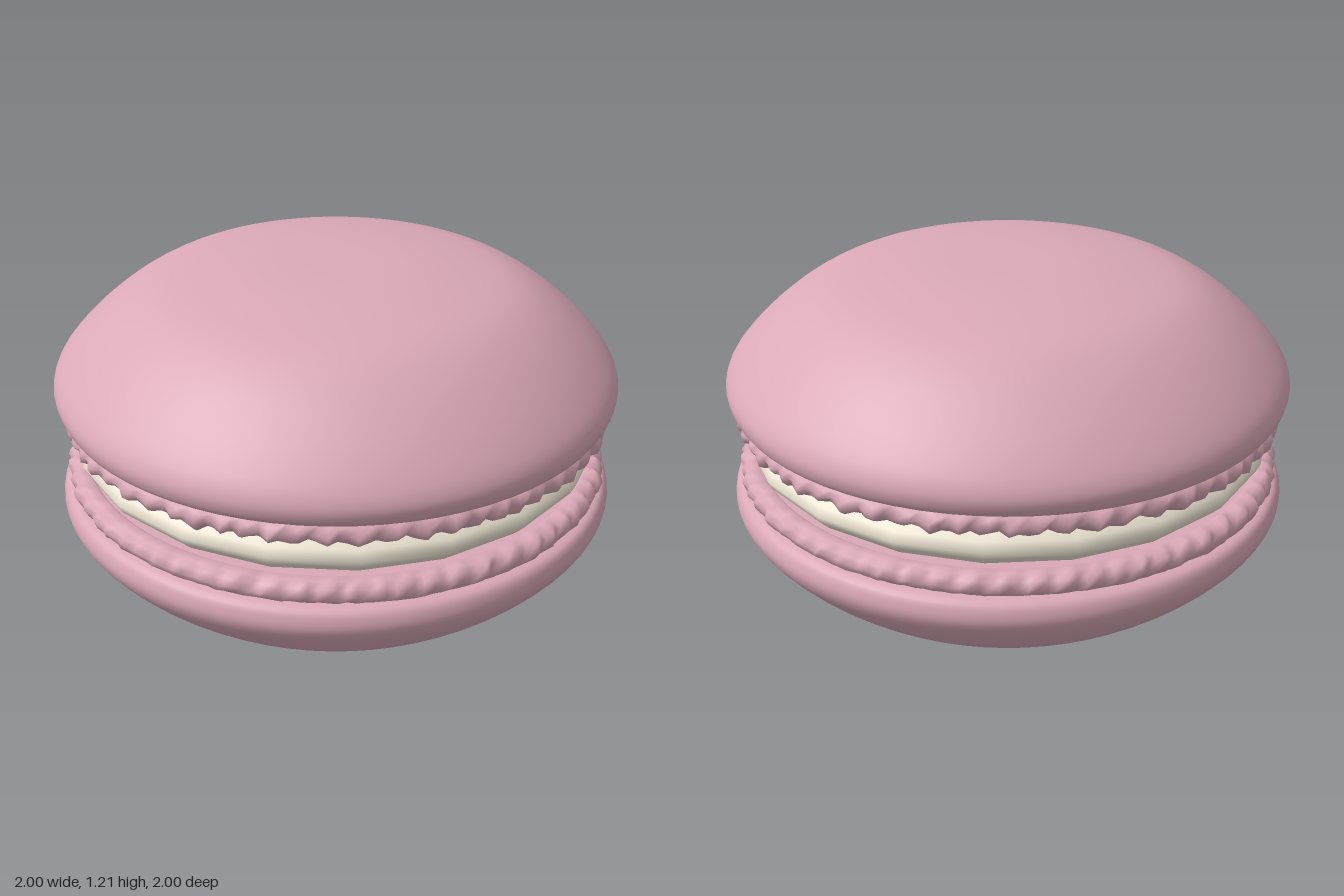
import * as THREE from 'three';
import { mergeVertices } from 'three/addons/utils/BufferGeometryUtils.js';

const HEIGHT = 1.21;
const pink = new THREE.MeshStandardMaterial({ color: 0xdba9b8 });
const creamColor = new THREE.MeshStandardMaterial({ color: 0xf2ead8 });

const points = (list) => list.map(([x, y]) => new THREE.Vector2(x, y));

function part(name, geometry, material) {
  const mesh = new THREE.Mesh(geometry, material);
  mesh.name = name;
  return mesh;
}

function seededRandom(seed) {
  return () => {
    seed = (seed * 16807) % 2147483647;
    return seed / 2147483647;
  };
}

// Crinkled ring: a squashed torus whose rim is waved and roughened
function ruffleGeometry(seed) {
  const random = seededRandom(seed);
  const columns = 198, rows = 10, waves = 66;
  let geometry = new THREE.TorusGeometry(0.92, 0.042, rows, columns);
  geometry.rotateX(-Math.PI / 2);
  geometry.deleteAttribute('uv');
  geometry.deleteAttribute('normal');
  geometry = mergeVertices(geometry, 1e-4);
  const position = geometry.attributes.position;
  const phases = [random() * 6, random() * 6, random() * 6];
  for (let i = 0; i < position.count; i++) {
    const x = position.getX(i), y = position.getY(i), z = position.getZ(i);
    const angle = Math.atan2(z, x);
    const radius = Math.hypot(x, z);
    const wave = Math.sin(waves * angle + 30 * y + 1.5 * Math.sin(7 * angle + phases[0]));
    const drift = Math.sin(23 * angle + phases[1]) + Math.sin(41 * angle - 40 * y + phases[2]);
    const outer = THREE.MathUtils.smoothstep(radius, 0.9, 0.94);
    const r = radius + outer * (0.008 + 0.007 * wave + 0.003 * drift + 0.007 * (random() - 0.5));
    const lift = outer * (0.006 * wave + 0.002 * drift + 0.005 * (random() - 0.5));
    position.setXYZ(i, r * Math.cos(angle), y + lift, r * Math.sin(angle));
  }
  geometry.computeVertexNormals();
  return geometry;
}

// One biscuit half, domed side down
function createHalf(name, seed) {
  const half = new THREE.Group();
  half.name = name;

  const dome = new THREE.SplineCurve(points([
    [0, 0], [0.25, 0.003], [0.45, 0.022], [0.62, 0.055], [0.75, 0.12],
    [0.87, 0.215], [0.96, 0.31], [0.995, 0.37], [0.996, 0.415], [0.975, 0.45], [0.92, 0.46],
  ]));
  const profile = dome.getPoints(40);
  profile[0].x = 0;
  half.add(part('shell', new THREE.LatheGeometry(profile, 72), pink));

  // Flat inner face that carries the filling
  const face = new THREE.CircleGeometry(0.925, 72);
  face.rotateX(-Math.PI / 2);
  face.translate(0, 0.527, 0);
  half.add(part('innerFace', face, pink));

  const ruffle = part('ruffle', ruffleGeometry(seed), pink);
  ruffle.position.y = 0.494;
  half.add(ruffle);
  return half;
}

export function createModel() {
  const model = new THREE.Group();
  model.name = 'macaron';

  model.add(createHalf('bottomHalf', 17));

  // Top half is the bottom half turned over
  const top = createHalf('topHalf', 17);
  top.rotation.z = Math.PI;
  top.position.y = HEIGHT;
  model.add(top);

  // Filling, a coarse rounded disc between the two faces
  const filling = points([
    [0, 0.52], [0.84, 0.52], [0.89, 0.54], [0.925, 0.575], [0.94, 0.605],
    [0.925, 0.635], [0.89, 0.67], [0.84, 0.69], [0, 0.69],
  ]);
  model.add(part('creamFilling', new THREE.LatheGeometry(filling, 20), creamColor));

  return model;
}
